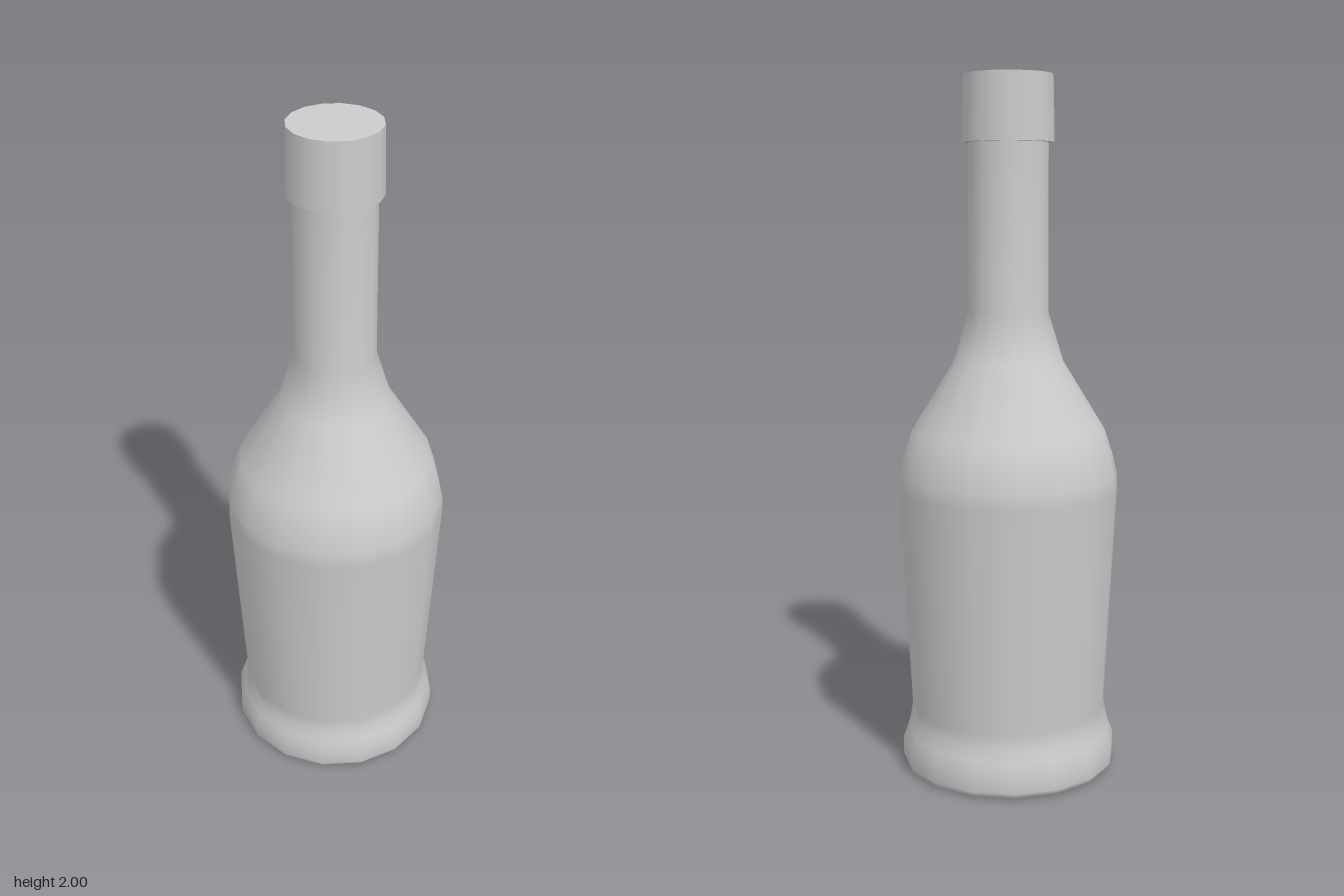
import * as THREE from 'three';

const SIDES = 16;
const material = new THREE.MeshStandardMaterial({ color: 0xcccccc });

// Turn a bottom-to-top profile of [radius, height]; a repeated point keeps a sharp edge.
function turned(name, profile) {
  const points = profile.map(([r, y]) => new THREE.Vector2(r, y));
  const mesh = new THREE.Mesh(new THREE.LatheGeometry(points, SIDES), material);
  mesh.name = name;
  return mesh;
}

export function createModel() {
  const group = new THREE.Group();
  group.name = 'bottle';

  // Body: flat bottom, flared foot, tapered belly, shoulder and neck
  group.add(turned('body', [
    [0, 0], [0.297, 0], [0.297, 0],
    [0.309, 0.006], [0.315, 0.02], [0.315, 0.07],
    [0.302, 0.105], [0.292, 0.14], [0.286, 0.18],
    [0.32, 0.83], [0.317, 0.87], [0.305, 0.925], [0.28, 1.0],
    [0.158, 1.2], [0.115, 1.34], [0.113, 1.83],
  ]));

  // Cap: slightly tapered sleeve with a flat top and an underside lip
  group.add(turned('cap', [
    [0.11, 1.815], [0.13, 1.815], [0.13, 1.815],
    [0.126, 2], [0.126, 2], [0, 2],
  ]));

  return group;
}
